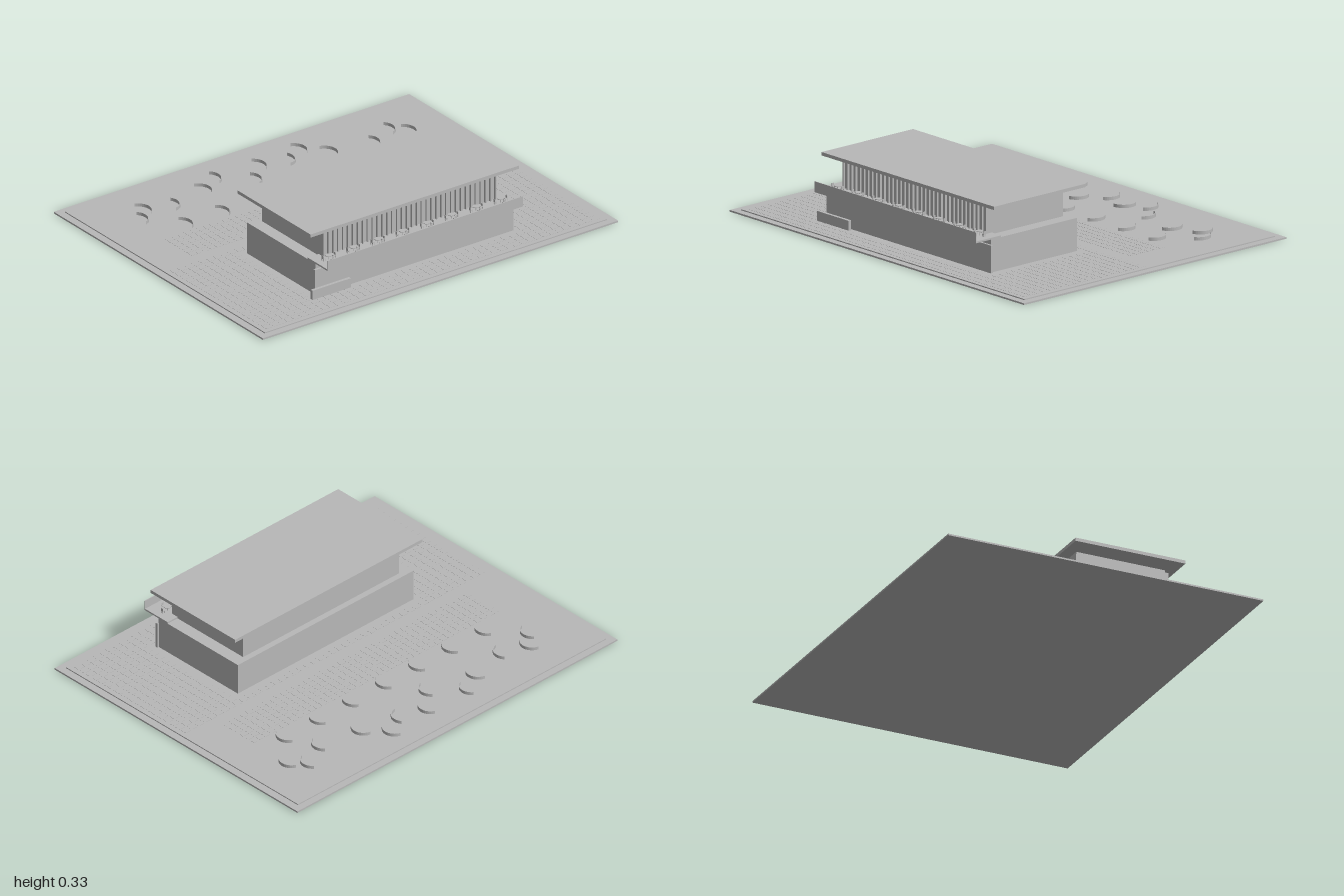
import * as THREE from 'three';
import { mergeGeometries } from 'three/addons/utils/BufferGeometryUtils.js';

const grey = new THREE.MeshStandardMaterial({ color: 0xb8b8b8 });
grey.name = 'plain grey';

// Box geometry from its lower and upper limits on each axis
function span(x0, x1, y0, y1, z0, z1) {
  return new THREE.BoxGeometry(x1 - x0, y1 - y0, z1 - z0)
    .translate((x0 + x1) / 2, (y0 + y1) / 2, (z0 + z1) / 2);
}

// Low crescent kerb: bulges towards +x, chord midpoint at the origin
function crescentGeometry() {
  const half = 0.052, steps = 14;
  const arc = (bulge) => {
    const r = (half * half + bulge * bulge) / (2 * bulge);
    const a = Math.asin(half / r);
    return Array.from({ length: steps + 1 }, (_, i) => {
      const t = -a + (2 * a * i) / steps;
      return new THREE.Vector2(r * Math.cos(t) - r + bulge, r * Math.sin(t));
    });
  };
  const outline = [...arc(0.033), ...arc(0.028).reverse().slice(1, -1)];
  return new THREE.ExtrudeGeometry(new THREE.Shape(outline), { depth: 0.016, bevelEnabled: false })
    .rotateX(-Math.PI / 2);
}

// Grid of thin paving slabs, leaving out those rejected by the test
function paving(x0, x1, z0, z1, pitch, size, skip = () => false) {
  const slabs = [];
  const nx = Math.round((x1 - x0) / pitch), nz = Math.round((z1 - z0) / pitch);
  for (let i = 0; i < nx; i++) {
    for (let j = 0; j < nz; j++) {
      const x = x0 + (i + 0.5) * (x1 - x0) / nx, z = z0 + (j + 0.5) * (z1 - z0) / nz;
      if (!skip(x, z)) slabs.push(span(x - size / 2, x + size / 2, 0.0125, 0.0138, z - size / 2, z + size / 2));
    }
  }
  return mergeGeometries(slabs);
}

// Small chair facing along +z, turned and placed
function chair(x, z, angle) {
  const y = 0.177, w = 0.006;
  const parts = [
    span(-w, w, y + 0.011, y + 0.013, -w, w),
    span(-w, w, y + 0.013, y + 0.026, -w, -w + 0.002),
  ];
  for (const sx of [-1, 1]) for (const sz of [-1, 1]) {
    const cx = sx * 0.005, cz = sz * 0.005;
    parts.push(span(cx - 0.001, cx + 0.001, y, y + 0.011, cz - 0.001, cz + 0.001));
  }
  return mergeGeometries(parts).rotateY(angle).translate(x, 0, z);
}

export function createModel() {
  const model = new THREE.Group();
  model.name = 'terracePavilion';

  const add = (name, geometry, parent = model) => {
    const mesh = new THREE.Mesh(geometry, grey);
    mesh.name = name;
    parent.add(mesh);
    return mesh;
  };

  // Ground
  add('groundSlab', span(-1, 1, 0, 0.008, -0.795, 0.795));
  add('courtyard', span(-0.963, 0.963, 0.008, 0.013, -0.76, 0.76));
  const underBuilding = (x, z) => Math.abs(x) < 0.57 && z > 0.05 && z < 0.61;
  add('frontPaving', paving(-0.94, 0.94, 0.0, 0.74, 0.04, 0.033, underBuilding));
  add('rearPaving', paving(-0.77, 0.77, -0.27, -0.055, 0.036, 0.03));

  // Building
  add('lowerStorey', span(-0.552, 0.547, 0.013, 0.169, 0.07, 0.59));
  add('frontPanel', span(-0.562, 0.556, 0.013, 0.144, 0.588, 0.6));
  add('upperStorey', span(-0.49, 0.485, 0.169, 0.305, 0.1, 0.557));
  add('eaves', span(-0.485, 0.48, 0.305, 0.318, 0.105, 0.552));
  add('roof', span(-0.59, 0.583, 0.318, 0.334, 0.05, 0.604));
  add('entranceWall', span(-0.595, -0.38, 0.013, 0.06, 0.612, 0.627));

  // Balcony floor and parapet
  add('balconyFloor', span(-0.552, 0.547, 0.169, 0.177, 0.53, 0.682));
  add('balconyParapet', span(-0.552, 0.547, 0.177, 0.22, 0.678, 0.682));

  // Upright fins on the upper front
  const fins = [];
  for (let i = 0; i < 36; i++) {
    const x = -0.486 + (i * 0.967) / 35;
    fins.push(span(x - 0.004, x + 0.004, 0.177, 0.305, 0.556, 0.567));
  }
  add('facadeFins', mergeGeometries(fins));

  // Tables and chairs along the balcony
  for (let i = 0; i < 8; i++) {
    const x = -0.485 + i * 0.138;
    const set = new THREE.Group();
    set.name = 'tableSet';
    model.add(set);
    add('tableTop', new THREE.CylinderGeometry(0.016, 0.016, 0.003, 12).translate(x, 0.197, 0.6), set);
    add('tableLeg', new THREE.CylinderGeometry(0.002, 0.002, 0.02, 8).translate(x, 0.187, 0.6), set);
    add('frontChair', chair(x, 0.628, Math.PI), set);
    add('rightChair', chair(x - 0.029, 0.6, Math.PI / 2), set);
    add('leftChair', chair(x + 0.029, 0.6, -Math.PI / 2), set);
  }

  // Crescent kerbs: a straight row, then a scattered group (x, z, turn)
  const crescent = crescentGeometry();
  const spots = [];
  for (let i = 0; i < 7; i++) spots.push([-0.602 + i * 0.207, -0.333, 0]);
  spots.push(
    [-0.735, -0.487, 0.22], [-0.671, -0.561, -0.22], [-0.535, -0.516, 0.39], [-0.332, -0.564, -0.26],
    [-0.225, -0.623, 0.16], [-0.083, -0.505, 0.21], [0.016, -0.61, -0.05], [0.155, -0.57, 0.49],
    [0.257, -0.631, -0.17], [0.353, -0.532, -0.29], [0.57, -0.487, 0.22], [0.703, -0.553, 0.23],
    [0.77, -0.489, -0.05],
  );
  for (const [x, z, turn] of spots) {
    const kerb = add('crescentKerb', crescent);
    kerb.position.set(x, 0.0125, z);
    kerb.rotation.y = -turn;
  }

  return model;
}
